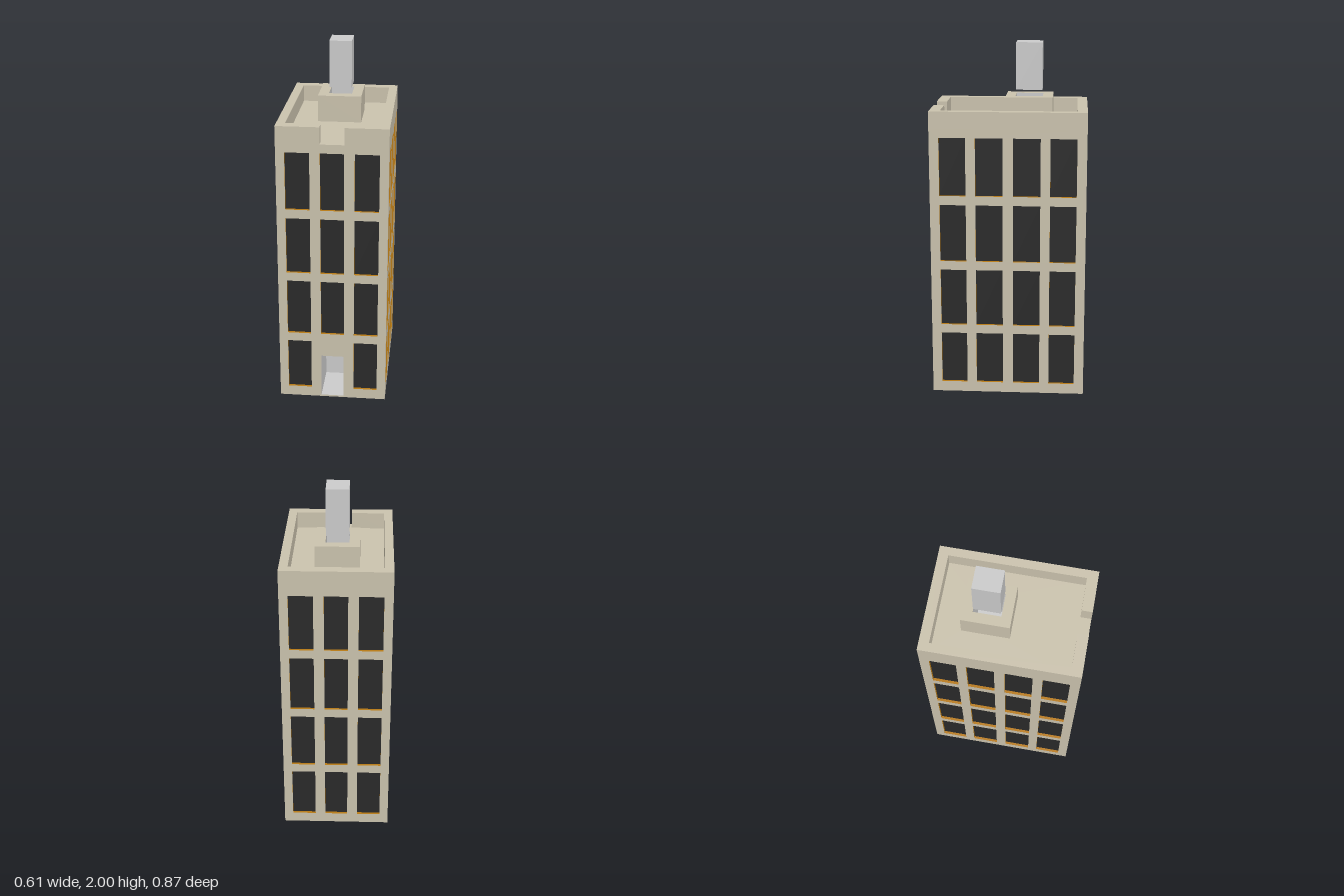
import * as THREE from 'three';

const mat = (color) => new THREE.MeshStandardMaterial({ color, flatShading: true });
const stone = mat(0xcbc3ae), grey = mat(0xcccccc), glass = mat(0x2a2a2a), amber = mat(0xb87a14);

const HX = 0.305, HZ = 0.436;            // half footprint
const ROOF = 1.55, PARAPET = 1.645;
const ROWS = [[0.06, 0.362], [0.413, 0.742], [0.793, 1.12], [1.172, 1.5]];
const FRONT_COLS = [[-0.256, -0.122], [-0.065, 0.065], [0.122, 0.256]];
const SIDE_COLS = [[-0.382, -0.235], [-0.181, -0.029], [0.029, 0.181], [0.235, 0.382]];
const DOOR = [-0.065, 0.065, 0.01, 0.27];

function add(parent, name, geometry, material, x = 0, y = 0, z = 0) {
  const mesh = new THREE.Mesh(geometry, material);
  mesh.name = name;
  mesh.position.set(x, y, z);
  parent.add(mesh);
  return mesh;
}

const polygon = (points) => new THREE.Shape(points.map(([x, y]) => new THREE.Vector2(x, y)));
const rect = (x0, x1, y0, y1) => polygon([[x0, y0], [x1, y0], [x1, y1], [x0, y1]]);

// Four inward-facing walls of a recess that opens towards +z
function revealGeometry(w, h, d) {
  const g = new THREE.BoxGeometry(w, h, d);
  const index = Array.from(g.index.array).slice(0, 24);
  for (let i = 0; i < index.length; i += 3) [index[i + 1], index[i + 2]] = [index[i + 2], index[i + 1]];
  g.setIndex(index);
  g.clearGroups();
  const n = g.attributes.normal;
  for (let i = 0; i < n.array.length; i++) n.array[i] *= -1;
  return g;
}

// A recess behind the plane z = 0: side walls plus a back panel
function recess(name, [x0, x1, y0, y1], depth, sideMat, backMat) {
  const group = new THREE.Group();
  group.name = name;
  group.position.set((x0 + x1) / 2, (y0 + y1) / 2, 0);
  add(group, name + 'Reveal', revealGeometry(x1 - x0, y1 - y0, depth), sideMat, 0, 0, -depth / 2);
  add(group, name + 'Back', new THREE.PlaneGeometry(x1 - x0, y1 - y0), backMat, 0, 0, -depth);
  return group;
}

// One face of the building, looking along +z
function facade(name, halfWidth, cols, hasDoor) {
  const group = new THREE.Group();
  group.name = name;
  const wall = rect(-halfWidth, halfWidth, 0, ROOF);
  const cut = (r) => wall.holes.push(rect(...r));
  ROWS.forEach(([y0, y1], row) => cols.forEach(([x0, x1], col) => {
    if (hasDoor && row === 0 && col === 1) return;
    const r = [x0, x1, y0, y1];
    cut(r);
    group.add(recess('window', r, 0.015, amber, glass));
  }));
  if (hasDoor) {
    cut(DOOR);
    group.add(recess('doorway', DOOR, 0.25, grey, grey));
  }
  add(group, name + 'Wall', new THREE.ShapeGeometry(wall), stone);
  return group;
}

// Extrude a plan drawn in (x, -z) upwards
function slab(shape, height) {
  return new THREE.ExtrudeGeometry(shape, { depth: height, bevelEnabled: false }).rotateX(-Math.PI / 2);
}

export function createModel() {
  const model = new THREE.Group();
  model.name = 'building';

  // Walls
  const sides = [
    ['front', HX, FRONT_COLS, HZ, 0],
    ['left', HZ, SIDE_COLS, HX, Math.PI / 2],
    ['back', HX, FRONT_COLS, HZ, Math.PI],
    ['right', HZ, SIDE_COLS, HX, -Math.PI / 2],
  ];
  for (const [name, half, cols, out, turn] of sides) {
    const f = facade(name, half, cols, name === 'front');
    f.rotation.y = turn;
    f.position.set(Math.sin(turn) * out, 0, Math.cos(turn) * out);
    model.add(f);
  }

  // Underside
  add(model, 'underside', new THREE.PlaneGeometry(HX * 2, HZ * 2).rotateX(Math.PI / 2), stone);

  // Roof deck, open where the shaft goes down
  const shaft = [-0.065, 0.065, 0.03, 0.183];
  const deck = rect(-HX, HX, -HZ, HZ);
  deck.holes.push(rect(...shaft));
  add(model, 'roofDeck', new THREE.ShapeGeometry(deck).rotateX(-Math.PI / 2), stone, 0, ROOF);

  // Parapet with a gap at the front
  const gap = 0.066, ix = 0.256, front = -0.376, back = 0.38;
  const parapet = polygon([
    [gap, -HZ], [HX, -HZ], [HX, HZ], [-HX, HZ], [-HX, -HZ], [-gap, -HZ],
    [-gap, front], [-ix, front], [-ix, back], [ix, back], [ix, front], [gap, front],
  ]);
  add(model, 'parapet', slab(parapet, PARAPET - ROOF), stone, 0, ROOF);

  // Rooftop block with a shaft opening
  const block = rect(-0.122, 0.122, -0.025, 0.24);
  block.holes.push(rect(...shaft));
  add(model, 'rooftopBlock', slab(block, 0.15), stone, 0, ROOF);
  const lining = recess('shaft', shaft.map((v, i) => v + (i % 2 ? -0.001 : 0.001)), 0.25, grey, grey);
  const lid = new THREE.Group();
  lid.name = 'shaftLining';
  lid.rotation.x = -Math.PI / 2;
  lid.position.y = ROOF + 0.15;
  lid.add(lining);
  model.add(lid);

  // Raised chimney hovering over the shaft
  add(model, 'chimney', new THREE.BoxGeometry(0.126, 0.265, 0.148), grey, 0, 1.8675, -0.1065);

  return model;
}
